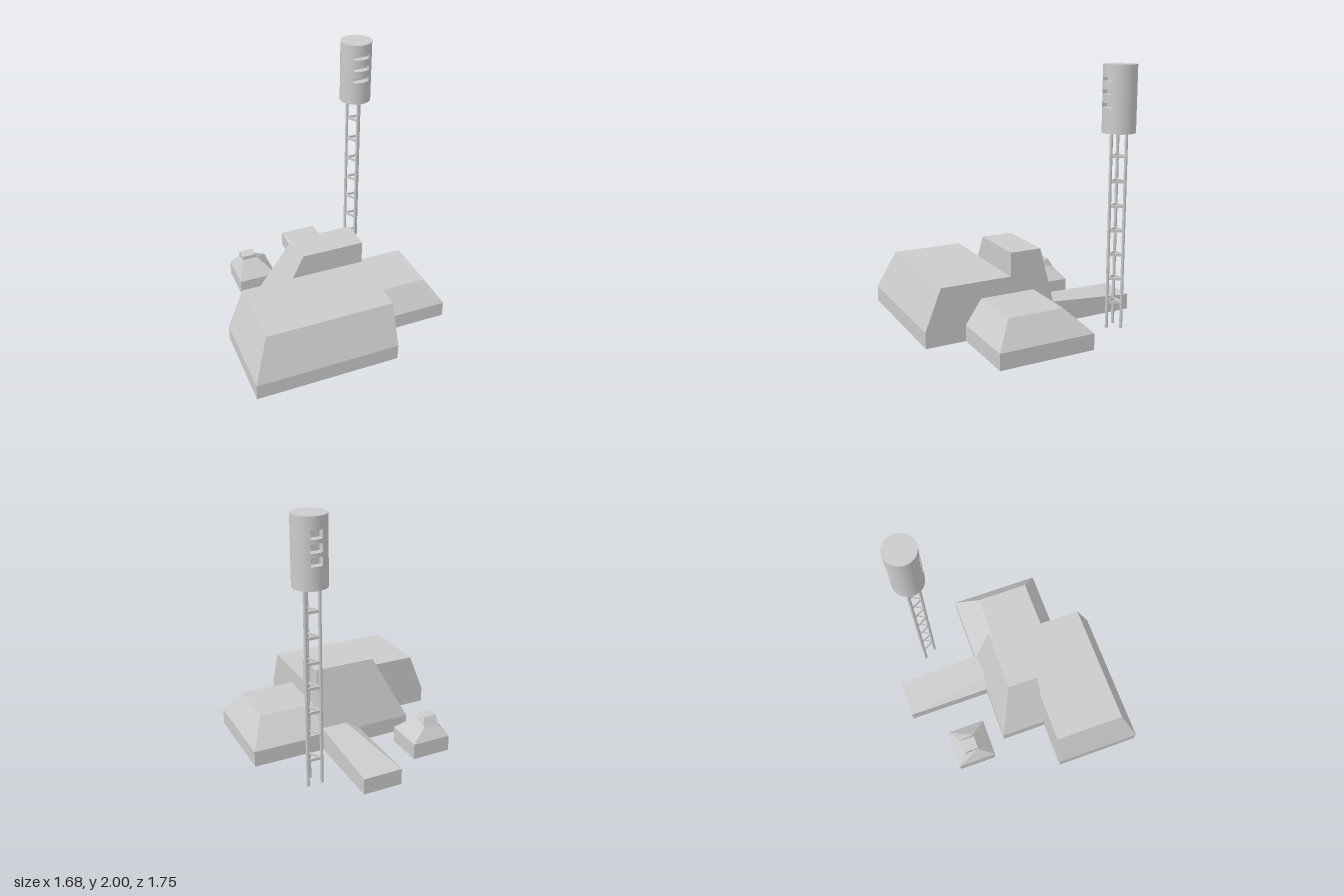
import * as THREE from 'three';
import { toCreasedNormals } from 'three/addons/utils/BufferGeometryUtils.js';
import { ConvexGeometry } from 'three/addons/geometries/ConvexGeometry.js';

const mat = new THREE.MeshStandardMaterial({ color: 0xcccccc });
const flat = new THREE.MeshStandardMaterial({ color: 0xcccccc, flatShading: true });

function add(parent, name, geometry, material = flat) {
  const mesh = new THREE.Mesh(geometry, material);
  mesh.name = name;
  parent.add(mesh);
  return mesh;
}

// Rectangle of corners [x0, x1, z0, z1]; yBack and yFront may differ.
function ring([x0, x1, z0, z1], yBack, yFront = yBack) {
  return [[x0, yBack, z0], [x1, yBack, z0], [x1, yFront, z1], [x0, yFront, z1]]
    .map((p) => new THREE.Vector3(...p));
}

// Upright plinth with a sloped roof closing to a smaller top rectangle.
const BASE = 0.125;
const bunker = (foot, top, yBack, yFront) =>
  new ConvexGeometry([...ring(foot, 0), ...ring(foot, BASE), ...ring(top, yBack, yFront)]);

// Disc outline, with optional flat-bottomed notches at the front and back.
const R = 0.125, DEPTH = 0.06;
function discShape(front, back) {
  const pts = [];
  for (const [dir, halfWidth] of [[1, front], [-1, back]]) {
    const a = Math.asin(halfWidth / R);
    const mid = dir * Math.PI / 2;
    const arc = (from, to) => {
      for (let i = 0; i <= 12; i++) {
        const t = from + (to - from) * i / 12;
        pts.push(new THREE.Vector2(R * Math.cos(t), R * Math.sin(t)));
      }
    };
    arc(mid - Math.PI / 2, mid - a);
    if (halfWidth) {
      pts.push(new THREE.Vector2(dir * halfWidth, dir * (R - DEPTH)));
      pts.push(new THREE.Vector2(-dir * halfWidth, dir * (R - DEPTH)));
    }
    arc(mid + a, mid + Math.PI / 2);
  }
  // Drop points that meet where the arcs join
  return new THREE.Shape(pts.filter((p, i) => p.distanceTo(pts[(i + 1) % pts.length]) > 1e-5));
}

function createTower() {
  const tower = new THREE.Group();
  tower.name = 'tower';
  tower.position.set(0.53, 0, -0.565);

  // Drum built in layers so the slots are really cut in
  const frontSlots = [[1.69, 1.725], [1.785, 1.82], [1.88, 1.91]];
  const backSlots = [[1.67, 1.73], [1.76, 1.82], [1.85, 1.91]];
  const levels = [...new Set([1.505, 2, ...frontSlots.flat(), ...backSlots.flat()])].sort((a, b) => a - b);
  const drum = new THREE.Group();
  drum.name = 'drum';
  tower.add(drum);
  for (let i = 0; i < levels.length - 1; i++) {
    const y0 = levels[i], y1 = levels[i + 1], y = (y0 + y1) / 2;
    const cut = (slots) => slots.some(([a, b]) => y > a && y < b);
    const shape = discShape(cut(frontSlots) ? 0.065 : 0, cut(backSlots) ? 0.043 : 0);
    const geo = new THREE.ExtrudeGeometry(shape, { depth: y1 - y0, bevelEnabled: false });
    // Turn the outline so that its +y faces the front, extruding downward from y1
    geo.rotateX(Math.PI / 2).translate(0, y1, 0);
    add(drum, 'drumLayer', toCreasedNormals(geo, 0.5), mat);
  }

  // Three masts in a triangle, joined by rungs on each side
  const masts = [0, 1, 2].map((i) => {
    const a = i * Math.PI * 2 / 3;
    return new THREE.Vector3(0.063 * Math.sin(a), 0, 0.063 * Math.cos(a));
  });
  masts.forEach((p, i) => {
    add(tower, 'mast', new THREE.CylinderGeometry(0.012, 0.012, 1.51, 12), mat)
      .position.set(p.x, 0.755, p.z);
    const q = masts[(i + 1) % 3];
    for (let k = 0; k < 7; k++) {
      const rung = add(tower, 'rung', new THREE.BoxGeometry(p.distanceTo(q), 0.02, 0.012));
      rung.position.copy(p).add(q).multiplyScalar(0.5).setY(0.205 + k * 0.1875);
      rung.rotation.y = Math.atan2(p.z - q.z, q.x - p.x);
    }
  });
  return tower;
}

export function createModel() {
  const model = new THREE.Group();
  model.name = 'bunkerWithTower';

  // Main building masses
  add(model, 'frontHall', bunker([-0.845, 0.275, 0.185, 0.875], [-0.72, 0.275, 0.185, 0.75], 0.44));
  add(model, 'tallBlock', bunker([-0.47, 0.275, -0.19, 0.19], [-0.22, 0.275, -0.06, 0.19], 0.625));
  add(model, 'sideHall', bunker([0.275, 0.84, -0.19, 0.56], [0.275, 0.715, 0, 0.435], 0.31));

  // Rear ramp, its inner end leaning on the tall block
  const rampFoot = [-0.03, 0.275, -0.875, -0.175];
  add(model, 'ramp', new ConvexGeometry([
    ...ring(rampFoot, 0), ...ring([-0.03, 0.275, -0.875, -0.19], BASE),
    new THREE.Vector3(0.07, 0.18, -0.175), new THREE.Vector3(0.275, 0.18, -0.175),
  ]));

  // Small vent house with a tilted collar and a stub on top
  const collar = [-0.53, -0.405, -0.565, -0.44];
  add(model, 'ventHouse', bunker([-0.595, -0.285, -0.625, -0.315], collar, 0.21, 0.25));
  add(model, 'ventStub', new ConvexGeometry([
    ...ring(collar, 0.21, 0.25), ...ring([-0.53, -0.425, -0.53, -0.44], 0.28),
  ]));

  model.add(createTower());
  return model;
}
